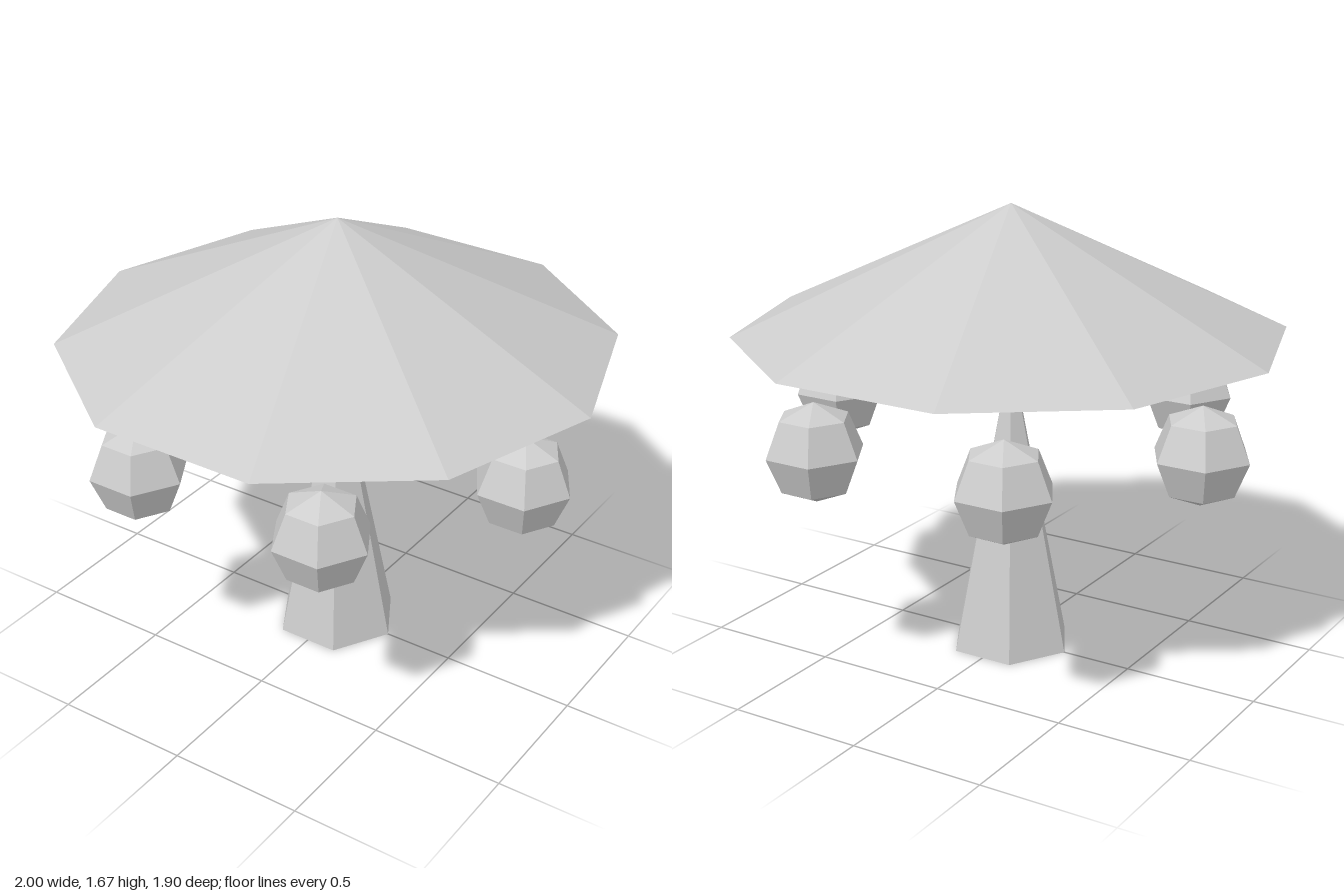
import * as THREE from 'three';

export function createModel() {
  const model = new THREE.Group();
  const material = new THREE.MeshStandardMaterial({ color: 0xcccccc, flatShading: true });

  function addPart(name, geometry, x, y, z) {
    const mesh = new THREE.Mesh(geometry, material);
    mesh.name = name;
    mesh.position.set(x, y, z);
    model.add(mesh);
  }

  // Closed cones with a corner on the x axis, standing on baseY
  function addCone(name, radius, baseY, topY, sides) {
    const height = topY - baseY;
    const geometry = new THREE.ConeGeometry(radius, height, sides, 1, false, Math.PI / 2);
    addPart(name, geometry, 0, baseY + height / 2, 0);
  }

  // Six-sided pointed post and ten-sided canopy floating above it
  addCone('post', 0.233, 0, 1.133, 6);
  addCone('canopy', 1, 1.2, 1.667, 10);

  // Ring of six faceted pods under the canopy
  const podGeometry = new THREE.SphereGeometry(0.181, 6, 4);
  const podCount = 6;
  for (let i = 0; i < podCount; i++) {
    const angle = (i / podCount) * Math.PI * 2;
    addPart(`pod${i + 1}`, podGeometry, 0.767 * Math.cos(angle), 0.869, 0.767 * Math.sin(angle));
  }

  return model;
}
